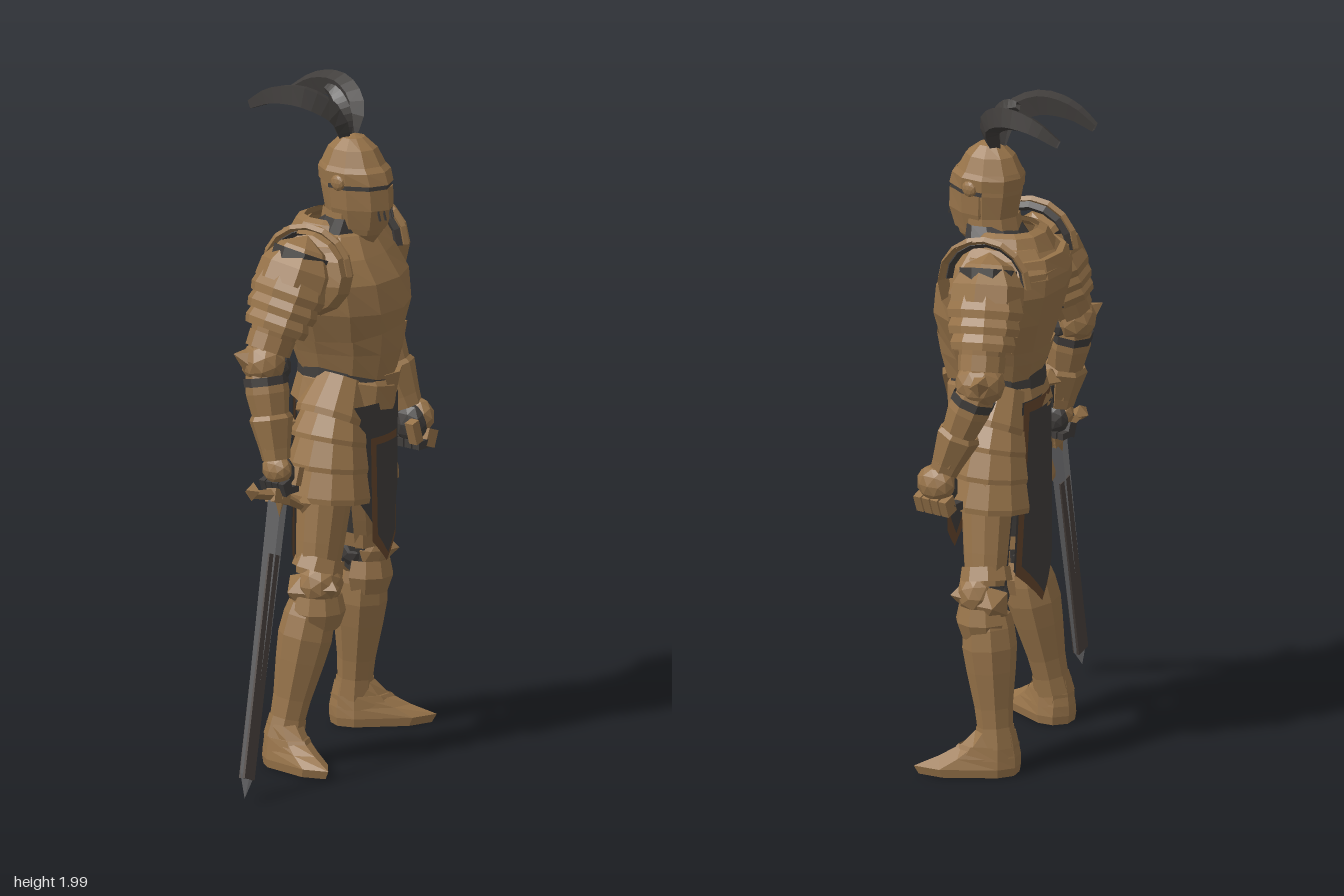
import * as THREE from 'three';

const paint = (name, color) => new THREE.MeshStandardMaterial({ name, color, flatShading: true, side: THREE.DoubleSide });
const V = (p) => new THREE.Vector3(...p);
const UP = new THREE.Vector3(0, 1, 0);
const rad = THREE.MathUtils.degToRad;
const mix = (t, a, b) => a.map((x, i) => x + (b[i] - x) * t);

export function createModel() {
  const bronze = paint('bronze armour', 0x98744a);
  const cloth = paint('dark cloth', 0x403d3b);
  const trim = paint('brown trim', 0x64452c);
  const steel = paint('blade steel', 0x808082);
  const fuller = paint('blade core', 0x4a423e);
  const knight = new THREE.Group();
  knight.name = 'armouredKnight';

  const group = (name, pos, yaw = 0, parent = knight) => {
    const g = new THREE.Group();
    g.name = name;
    g.position.set(...pos);
    g.rotation.y = yaw;
    parent.add(g);
    return g;
  };
  const add = (parent, name, mat, geo, pos = [0, 0, 0], rot = [0, 0, 0]) => {
    const m = new THREE.Mesh(geo, mat);
    m.name = name;
    m.position.set(...pos);
    m.rotation.set(...rot);
    parent.add(m);
    return m;
  };
  // Lathed plate from a (below) to b (above); profile is [fraction, radius]
  const tube = (parent, name, mat, a, b, profile, { n = 8, start = 0, arc = 360, sx = 1, sz = 1 } = {}) => {
    const d = V(b).sub(V(a));
    const geo = new THREE.LatheGeometry(profile.map(([t, r]) => new THREE.Vector2(r, t)), n, rad(start), rad(arc));
    geo.scale(sx, d.length(), sz);
    const m = add(parent, name, mat, geo, a);
    m.quaternion.setFromUnitVectors(UP, d.normalize());
    return m;
  };
  // Horizontal rings [y, halfWidth, front, back, frontDip, zShift] joined into a skin; power < 1 squares the ring
  const loft = (parent, name, mat, rings, n = 12, power = 1) => {
    const pos = [], idx = [];
    const shape = (x) => Math.sign(x) * Math.abs(x) ** power;
    rings.forEach(([y, w, f, b, dip = 0, z = 0], i) => {
      for (let j = 0; j < n; j++) {
        const t = (j / n) * Math.PI * 2, c = Math.cos(t);
        pos.push(shape(Math.sin(t)) * w, y - dip * Math.max(0, c) ** 3, z + shape(c) * (c > 0 ? f : b));
        if (i) {
          const k = (j + 1) % n, lo = (i - 1) * n, hi = i * n;
          idx.push(lo + j, lo + k, hi + j, lo + k, hi + k, hi + j);
        }
      }
    });
    const geo = new THREE.BufferGeometry();
    geo.setAttribute('position', new THREE.Float32BufferAttribute(pos, 3));
    geo.setIndex(idx);
    geo.computeVertexNormals();
    return add(parent, name, mat, geo);
  };
  const blob = (parent, name, mat, pos, size, rot) =>
    add(parent, name, mat, new THREE.IcosahedronGeometry(1, 1).scale(...size), pos, rot);

  // Torso
  const torso = group('torso', [0.13, 0, 0], 0.27);
  loft(torso, 'cuirass', bronze, [[1.15, 0.118, 0.165, 0.095], [1.21, 0.135, 0.185, 0.115], [1.34, 0.19, 0.213, 0.155],
    [1.43, 0.205, 0.2, 0.18], [1.5, 0.19, 0.155, 0.182], [1.56, 0.13, 0.115, 0.13], [1.59, 0.08, 0.08, 0.08]], 12, 0.85);
  loft(torso, 'plackart', bronze, [[1.15, 0.123, 0.178, 0.102, 0.03], [1.21, 0.142, 0.198, 0.123], [1.25, 0.158, 0.208, 0.133, -0.04]], 12, 0.85);
  loft(torso, 'backCollarPlate', bronze, [[1.48, 0.192, 0.13, 0.19], [1.535, 0.165, 0.11, 0.172], [1.535, 0.14, 0.1, 0.15],
    [1.59, 0.11, 0.08, 0.12, 0.03], [1.6, 0.09, 0.07, 0.095, 0.03]], 12, 0.9);
  loft(torso, 'belt', cloth, [[1.115, 0.132, 0.172, 0.115], [1.17, 0.128, 0.17, 0.11]]);
  loft(torso, 'fauld', bronze, [[1.06, 0.152, 0.178, 0.132, 0.03], [1.13, 0.134, 0.184, 0.112, 0.03], [1.14, 0.12, 0.16, 0.1]]);
  loft(torso, 'hipPadding', cloth, [[0.78, 0.06, 0.06, 0.06], [0.86, 0.12, 0.1, 0.1], [1.07, 0.14, 0.13, 0.12]]);
  add(torso, 'fauldPoint', bronze, new THREE.ConeGeometry(0.06, 0.11, 4).scale(1, 1, 0.35), [0.015, 1.085, 0.172], [Math.PI, 0, 0]);

  // Neck and helmet
  const head = group('head', [0.135, 0, 0.06], 0.03);
  loft(head, 'neckScarf', cloth, [[1.51, 0.125, 0.065, 0.13, 0.01, -0.02], [1.56, 0.112, 0.06, 0.115, 0, -0.01], [1.61, 0.09, 0.05, 0.085]]);
  loft(head, 'helmet', bronze, [[1.53, 0.03, 0.07, 0.03], [1.56, 0.062, 0.095, 0.06], [1.62, 0.08, 0.118, 0.085], [1.7, 0.088, 0.116, 0.103],
    [1.76, 0.086, 0.1, 0.106], [1.81, 0.066, 0.07, 0.082], [1.84, 0.035, 0.03, 0.048], [1.85, 0, 0, 0]], 10);
  loft(head, 'neckGuard', bronze, [[1.575, 0.088, 0.05, 0.105], [1.63, 0.084, 0.06, 0.094]], 10);
  loft(head, 'eyeSlit', cloth, [[1.7, 0.09, 0.121, 0.09], [1.716, 0.09, 0.119, 0.09]], 10);
  loft(head, 'brow', bronze, [[1.714, 0.093, 0.127, 0.108], [1.75, 0.095, 0.114, 0.111], [1.765, 0.086, 0.098, 0.106]], 10);
  loft(head, 'visor', bronze, [[1.58, 0.072, 0.112, 0.05], [1.64, 0.088, 0.13, 0.06], [1.7, 0.092, 0.126, 0.07]], 10);
  for (const s of [-1, 1]) {
    blob(head, 'visorPivot', bronze, [s * 0.088, 1.72, 0.01], [0.012, 0.025, 0.025]);
    for (const u of [0.013, 0.03])
      add(head, 'breathSlit', cloth, new THREE.BoxGeometry(0.005, 0.045, 0.006), [s * u, 1.632, 0.127 - u * 0.42], [-0.28, s * 0.4, 0]);
  }

  // Plume feathers: tall thin blades tapered along their curves
  const feather = (points, r) => {
    const n = 12, curve = new THREE.CatmullRomCurve3(points.map(V));
    const geo = new THREE.TubeGeometry(curve, n, r, 4), p = geo.attributes.position, v = new THREE.Vector3();
    for (let i = 0; i < p.count; i++) {
      const t = Math.floor(i / 5) / n, c = curve.getPointAt(t);
      v.fromBufferAttribute(p, i).sub(c).multiplyScalar(0.3 + 0.7 * Math.sin(Math.PI * Math.min(1, 0.12 + t * 0.83)));
      v.x *= 0.65;
      p.setXYZ(i, c.x + v.x, c.y + v.y, c.z + v.z);
    }
    add(knight, 'plumeFeather', cloth, geo);
  };
  feather([[0.122, 1.83, 0.035], [0.085, 1.91, 0.03], [0.04, 1.957, -0.045], [0.02, 1.95, -0.15], [0.012, 1.91, -0.23]], 0.042);
  feather([[0.145, 1.83, 0.035], [0.18, 1.91, 0.025], [0.207, 1.955, -0.05], [0.211, 1.95, -0.15], [0.2, 1.91, -0.235]], 0.042);
  feather([[0.13, 1.83, 0.03], [0.118, 1.9, 0.035], [0.122, 1.955, 0.0], [0.13, 1.97, -0.04]], 0.034);
  add(head, 'plumeHolder', cloth, new THREE.CylinderGeometry(0.018, 0.025, 0.04, 4), [0, 1.85, -0.02]);

  // Arms
  const arms = [
    { s: -1, shoulder: [-0.07, 1.53, 0.035], elbow: [-0.2, 1.22, 0.0], wrist: [-0.215, 0.97, 0.055], hand: [-0.2, 0.9, 0.066], grip: 1 },
    { s: 1, shoulder: [0.325, 1.53, -0.075], elbow: [0.435, 1.22, -0.125], wrist: [0.475, 0.97, -0.035], hand: [0.475, 0.895, -0.012], grip: 1.25 }];
  for (const { s, shoulder, elbow, wrist, hand, grip } of arms) {
    const arm = group(s < 0 ? 'rightArm' : 'leftArm', [0, 0, 0]);
    const upper = (t) => mix(t, elbow, shoulder), lower = (t) => mix(t, wrist, elbow);
    // The arc leaves a slot open towards the ribs
    const wrap = (arc) => ({ start: s * 100 - arc / 2, arc });
    tube(arm, 'mailSleeve', cloth, elbow, shoulder, [[-0.05, 0.05], [0.3, 0.066], [1, 0.085]]);
    tube(arm, 'rerebrace', bronze, upper(0.08), upper(0.5), [[0, 0.058], [0.5, 0.07], [1, 0.068]], wrap(275));
    tube(arm, 'innerBand', bronze, upper(0.08), upper(0.24), [[0, 0.057], [1, 0.066]]);
    [[0.28, 0.5, 0.09], [0.42, 0.64, 0.1], [0.56, 0.8, 0.106]].forEach(([t0, t1, r]) =>
      tube(arm, 'shoulderLame', bronze, upper(t0), upper(t1), [[0, r], [0.3, r + 0.006], [1, r - 0.01]], { ...wrap(270), n: 7, sx: 0.88, sz: 1.08 }));
    tube(arm, 'pauldron', bronze, upper(0.7), upper(1.15), [[0, 0.11], [0.35, 0.107], [0.75, 0.07], [1, 0]], { n: 7, sx: 0.9, sz: 1.05 });
    add(arm, 'pauldronPoint', bronze, new THREE.ConeGeometry(0.07, 0.06, 4), [shoulder[0] + s * 0.075, shoulder[1] - 0.045, shoulder[2]], [0, 0, -s * 1.25]);
    const rimX = s * 0.197 - 0.012;
    add(torso, 'shoulderFlange', bronze, new THREE.CylinderGeometry(0.12, 0.138, 0.045, 8, 1, true, -0.2, Math.PI + 0.4),
      [rimX, 1.475, 0], [Math.PI / 2, 0, Math.PI / 2]);
    add(torso, 'shoulderFlangeLining', cloth, new THREE.TorusGeometry(0.12, 0.014, 4, 8, Math.PI), [rimX - s * 0.02, 1.475, 0], [0, Math.PI / 2, 0]);
    add(torso, 'shoulderFlangeRim', bronze, new THREE.TorusGeometry(0.134, 0.011, 4, 8, Math.PI), [rimX, 1.475, 0], [0, Math.PI / 2, 0]);
    // Elbow
    blob(arm, 'elbowCop', bronze, elbow, [0.065, 0.07, 0.075], [0, s * 0.4, s * 0.2]);
    add(arm, 'elbowWing', bronze, new THREE.ConeGeometry(0.065, 0.085, 5).scale(1, 1, 0.9),
      [elbow[0] + s * 0.045, elbow[1] + 0.015, elbow[2] - 0.03], [-0.8, 0, -s * 0.95]);
    tube(arm, 'elbowLame', bronze, upper(0.1), upper(0.24), [[0, 0.068], [1, 0.07]], wrap(290));
    blob(arm, 'elbowMail', cloth, [elbow[0] - s * 0.03, elbow[1] - 0.015, elbow[2] + 0.025], [0.038, 0.05, 0.045]);
    tube(arm, 'elbowStrap', cloth, lower(0.74), lower(0.84), [[0, 0.066], [1, 0.066]]);
    // Forearm and hand
    tube(arm, 'vambrace', bronze, wrist, elbow, [[0, 0.044], [0.3, 0.05], [0.65, 0.064], [0.78, 0.062], [1, 0.05]]);
    tube(arm, 'gauntletCuff', bronze, lower(-0.12), lower(0.4), [[0, 0.042], [0.25, 0.047], [0.9, 0.066], [1, 0.058]], { n: 7 });
    const fist = group('hand', hand, 0, arm);
    fist.scale.setScalar(grip);
    blob(fist, 'palm', cloth, [0, 0, 0], [0.036, 0.05, 0.045]);
    blob(fist, 'handPlate', bronze, [s * 0.018, 0.012, 0], [0.036, 0.045, 0.05]);
    for (let i = 0; i < 4; i++) {
      const z = -0.036 + i * 0.024;
      add(fist, 'finger', s < 0 ? cloth : bronze, new THREE.BoxGeometry(0.034, 0.042, 0.02), [s * 0.022, -0.036, z], [0, 0, -s * 0.35]);
      add(fist, 'fingertip', cloth, new THREE.BoxGeometry(0.034, 0.02, 0.02), [-s * 0.008, -0.046, z]);
    }
    add(fist, 'thumb', bronze, new THREE.BoxGeometry(0.024, 0.055, 0.024), [-s * 0.03, -0.012, 0.035], [0, 0, s * 0.3]);
  }

  // Legs
  const legs = [
    { s: -1, hip: [0.025, 0.95, 0.06], knee: [-0.055, 0.53, 0.075], ankle: [-0.138, 0.09, 0.025], yaw: -0.24, step: 1 },
    { s: 1, hip: [0.25, 0.95, -0.03], knee: [0.335, 0.53, -0.075], ankle: [0.342, 0.09, -0.115], yaw: 0.7, step: 1.1 }];
  for (const { s, hip, knee, ankle, yaw, step } of legs) {
    const leg = group(s < 0 ? 'rightLeg' : 'leftLeg', [0, 0, 0]);
    const turn = THREE.MathUtils.radToDeg(yaw);
    const shin = (t) => mix(t, ankle, knee);
    tube(leg, 'thighMail', cloth, knee, hip, [[-0.12, 0.056], [0.3, 0.063], [1, 0.083]]);
    tube(leg, 'cuisse', bronze, knee, hip, [[0.08, 0.063], [0.3, 0.072], [0.65, 0.083], [0.9, 0.087]], { start: turn - 125 + s * 15, arc: 250 });
    // Layered hip plates, wrapping the outside: [bottom, top, lower radius, upper radius, inward lean]
    [[0.775, 0.885, 0.128, 0.11, 0.01], [0.865, 0.965, 0.122, 0.104, 0.014], [0.945, 1.04, 0.115, 0.092, 0.026], [1.01, 1.125, 0.103, 0.076, 0.055]]
      .forEach(([y0, y1, r0, r1, lean]) => tube(leg, 'tassetPlate', bronze, [hip[0], y0, hip[2]], [hip[0] - s * lean, y1, hip[2]],
        [[0, r0], [0.15, r0 + 0.002], [1, r1]], { n: 6, start: s > 0 ? -5 : -175, arc: 190 }));
    // Knee
    const kneeG = group('knee', knee, yaw, leg);
    blob(kneeG, 'kneeCop', bronze, [0, 0.01, 0.024], [0.07, 0.07, 0.062]);
    add(kneeG, 'kneePoint', bronze, new THREE.ConeGeometry(0.062, 0.06, 4), [0, 0.005, 0.075], [Math.PI / 2, 0, 0]);
    add(kneeG, 'kneeWing', bronze, new THREE.ConeGeometry(0.06, 0.045, 5), [s * 0.072, -0.01, -0.01], [0, 0, -s * Math.PI / 2]);
    tube(kneeG, 'upperKneeLame', bronze, [-s * 0.005, 0.045, 0], [-s * 0.018, 0.085, 0], [[0, 0.077], [1, 0.07]]);
    tube(kneeG, 'lowerKneeLame', bronze, [0, -0.12, 0.005], [0, -0.02, 0.008], [[0, 0.068], [0.5, 0.084], [1, 0.072]], { start: -125, arc: 250, n: 7 });
    blob(kneeG, 'kneeHollow', cloth, [0, 0, -0.018], [0.056, 0.055, 0.05]);
    // Shin
    tube(leg, 'greave', bronze, ankle, knee, [[-0.06, 0.052], [0.05, 0.05], [0.25, 0.056], [0.5, 0.072], [0.66, 0.08], [0.8, 0.076], [0.88, 0.068]], { start: turn });
    tube(leg, 'ankleCuff', bronze, shin(-0.02), shin(0.12), [[0, 0.06], [1, 0.055]], { start: turn });
    // Pointed foot
    const foot = group('foot', [ankle[0], 0, ankle[2]], yaw, leg);
    foot.scale.z = step;
    loft(foot, 'sabaton', bronze, [[0, 0, 0, 0], [0, 0.06, 0.205, 0.062], [0.025, 0.064, 0.218, 0.066], [0.055, 0.06, 0.15, 0.066],
      [0.09, 0.054, 0.09, 0.06], [0.13, 0.05, 0.055, 0.052]], 8);
    loft(foot, 'instepLame', bronze, [[0.05, 0.062, 0.13, 0.06], [0.09, 0.057, 0.1, 0.062]], 8);
  }

  // Hanging cloth: a plane shaped to width, pointed hem and bend
  const drape = (parent, name, mat, { top, len, rise, wTop, wLow, z, bend, sign }) => {
    const geo = new THREE.PlaneGeometry(2, 1, 6, 6), p = geo.attributes.position;
    for (let i = 0; i < p.count; i++) {
      const u = p.getX(i), v = 0.5 - p.getY(i), x = u * (wTop + (wLow - wTop) * v);
      p.setXYZ(i, x, top - v * (len - rise * Math.abs(u)), sign * (z - bend * x * x));
    }
    add(parent, name, mat, geo);
  };
  const frontSkirt = group('frontLoincloth', [0.125, 0, 0.02], 0.15);
  const front = { top: 1.06, len: 0.44, rise: 0.16, wTop: 0.125, wLow: 0.11, z: 0.15, bend: 2.2, sign: 1 };
  drape(frontSkirt, 'frontCloth', cloth, front);
  drape(frontSkirt, 'frontTrim', trim, { ...front, top: 0.96, len: 0.38, rise: 0.07, wTop: 0.07, wLow: 0.064, z: 0.155 });
  drape(frontSkirt, 'frontPanel', cloth, { ...front, top: 0.94, len: 0.335, rise: 0.065, wTop: 0.055, wLow: 0.049, z: 0.16 });
  const backSkirt = group('backLoincloth', [0.16, 0, 0.02], 0.2);
  const back = { top: 1.1, len: 0.63, rise: 0.11, wTop: 0.09, wLow: 0.122, z: 0.15, bend: 2, sign: -1 };
  drape(backSkirt, 'backLining', cloth, { ...back, len: 0.62, z: 0.144 });
  drape(backSkirt, 'backTrim', trim, back);
  drape(backSkirt, 'backPanel', cloth, { ...back, top: 1.07, len: 0.575, wTop: 0.076, wLow: 0.107, z: 0.156 });

  // Sword, grip along +y and blade along -y
  const sword = group('sword', [-0.23, 0.835, 0.08]);
  const L = 0.887;
  sword.quaternion.setFromUnitVectors(UP, V([0.31, 0.82, -0.135]).normalize());
  loft(sword, 'blade', steel, [[-L, 0, 0, 0], [-L + 0.07, 0.032, 0.01, 0.01], [-0.02, 0.044, 0.013, 0.013], [0, 0.03, 0.013, 0.013]], 4);
  add(sword, 'fuller', fuller, new THREE.BoxGeometry(0.046, 0.66, 0.022), [0, -0.5, 0]);
  add(sword, 'bladeCollar', bronze, new THREE.ConeGeometry(0.036, 0.17, 4).scale(1, 1, 0.55), [0, -0.085, 0], [Math.PI, 0, 0]);
  add(sword, 'grip', cloth, new THREE.CylinderGeometry(0.014, 0.017, 0.2, 6), [0, 0.1, 0]);
  add(sword, 'guardBlock', bronze, new THREE.BoxGeometry(0.07, 0.04, 0.036));
  for (const s of [-1, 1]) {
    add(sword, 'crossguard', bronze, new THREE.CylinderGeometry(0.011, 0.017, 0.1, 4), [s * 0.075, -0.006, 0], [0, 0, -s * 1.72]);
    add(sword, 'guardTip', bronze, new THREE.OctahedronGeometry(0.028), [s * 0.118, -0.004, 0]);
  }
  add(sword, 'pommel', bronze, new THREE.OctahedronGeometry(0.036), [0, 0.22, 0]);
  return knight;
}
